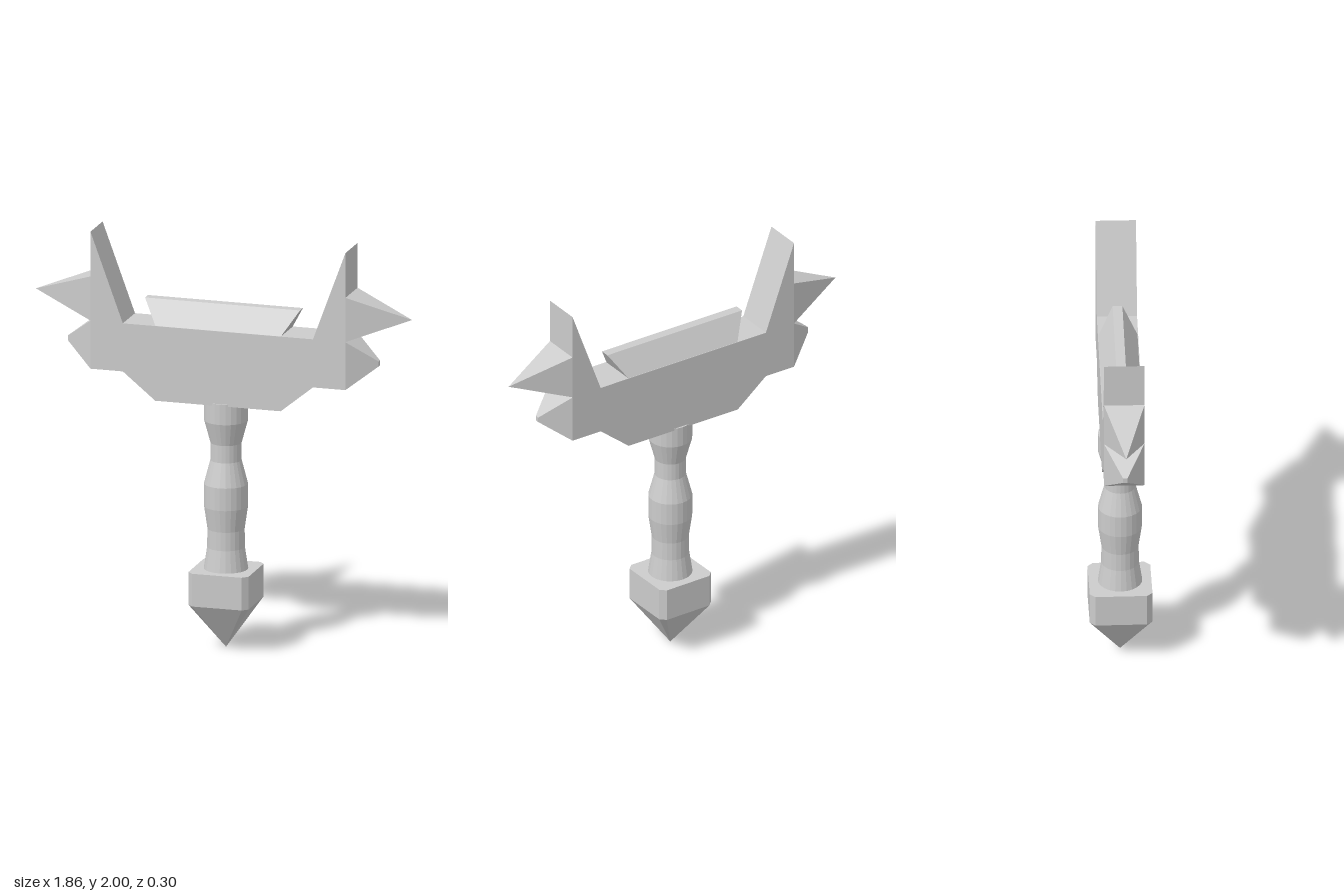
import * as THREE from 'three';

const material = new THREE.MeshStandardMaterial({ color: 0xcccccc, flatShading: true });

function add(parent, name, geometry) {
  const mesh = new THREE.Mesh(geometry, material);
  mesh.name = name;
  parent.add(mesh);
  return mesh;
}

// Closed skin over equal-length rings, each counter-clockwise about the lofting axis.
function loft(rings) {
  const n = rings[0].length;
  const last = (rings.length - 1) * n;
  const index = [];
  for (let r = 0; r < rings.length - 1; r++) {
    for (let i = 0; i < n; i++) {
      const a = r * n + i, b = r * n + (i + 1) % n;
      index.push(a, b, b + n, a, b + n, a + n);
    }
  }
  for (let i = 1; i < n - 1; i++) {
    index.push(0, i + 1, i, last, last + i, last + i + 1);
  }
  const geometry = new THREE.BufferGeometry();
  geometry.setAttribute('position', new THREE.Float32BufferAttribute(rings.flat(2), 3));
  geometry.setIndex(index);
  const flat = geometry.toNonIndexed();
  flat.computeVertexNormals();
  return flat;
}

// Rectangle in the YZ plane at x
const rectX = (x, y, hy, hz) => [[x, y - hy, -hz], [x, y + hy, -hz], [x, y + hy, hz], [x, y - hy, hz]];
// Rectangle in the XZ plane at y
const rectY = (y, hx, hz) => [[-hx, y, hz], [hx, y, hz], [hx, y, -hz], [-hx, y, -hz]];
// Square with cut corners in the XZ plane at y
const octagonY = (y, h, c) => [
  [c, y, h], [h, y, c], [h, y, -c], [c, y, -h],
  [-c, y, -h], [-h, y, -c], [-h, y, c], [-c, y, h],
];

export function createModel() {
  const model = new THREE.Group();
  model.name = 'spikedHammer';

  // Head plate with upright horns
  const head = new THREE.Group();
  head.name = 'head';
  head.rotation.y = -0.012;
  model.add(head);
  const half = [[0.31, 1.2], [0.47, 1.33], [0.63, 1.33], [0.63, 2], [0.47, 1.565]];
  const outline = [...half, ...half.map(([x, y]) => [-x, y]).reverse()];
  const depth = 0.19;
  const plate = new THREE.ExtrudeGeometry(
    new THREE.Shape(outline.map(([x, y]) => new THREE.Vector2(x, y))),
    { depth, bevelEnabled: false });
  plate.translate(0, 0, -depth / 2);
  add(head, 'headPlate', plate);

  // Long upper spikes and short blunt lower spikes
  for (const [side, turn] of [['left', 0], ['right', Math.PI]]) {
    const upper = loft([rectX(0.63, 1.673, 0.108, depth / 2), rectX(0.93, 1.673, 0, 0)]);
    const lower = loft([rectX(0.63, 1.447, 0.117, depth / 2), rectX(0.768, 1.447, 0.012, 0.01)]);
    add(head, side + 'UpperSpike', upper).rotation.y = turn;
    add(head, side + 'LowerSpike', lower).rotation.y = turn;
  }

  // Flared ridge on top of the head
  add(head, 'topRidge', loft([rectY(1.56, 0.307, 0.095), rectY(1.68, 0.383, 0.023)]));

  // Turned grip
  const shaft = new THREE.Group();
  shaft.name = 'handle';
  shaft.position.x = 0.01;
  model.add(shaft);
  const profile = [
    [0, 0.37], [0.106, 0.37], [0.105, 0.385], [0.089, 0.49], [0.088, 0.58], [0.104, 0.69],
    [0.104, 0.8], [0.074, 0.915], [0.074, 1.0], [0.104, 1.11], [0.104, 1.21], [0, 1.21],
  ].map(([r, y]) => new THREE.Vector2(r, y));
  add(shaft, 'grip', new THREE.LatheGeometry(profile, 24));

  // Pommel block tapering to a point
  add(shaft, 'pommel', loft([octagonY(0, 0, 0), octagonY(0.225, 0.148, 0.122), octagonY(0.385, 0.148, 0.122)]));

  return model;
}
